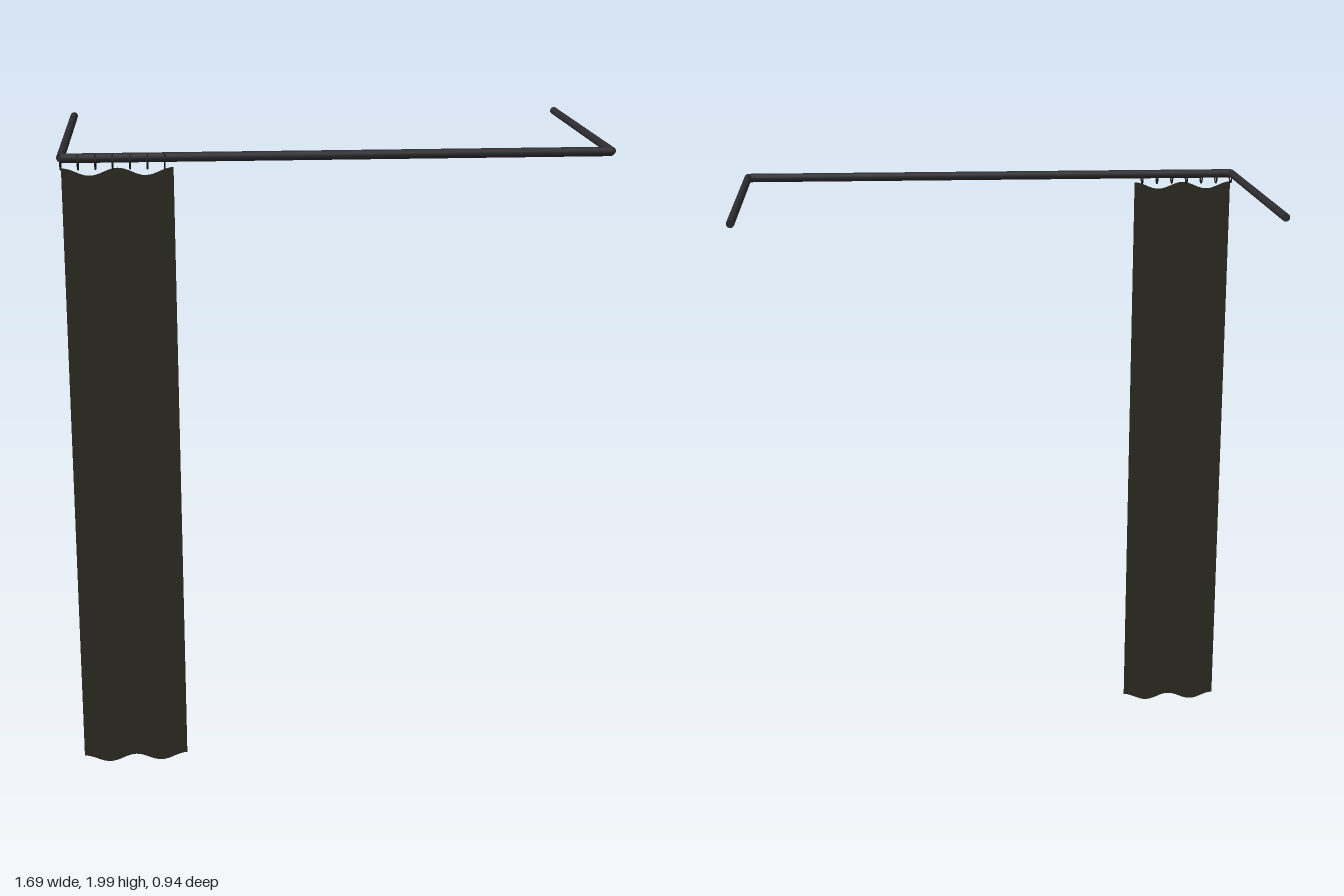
import * as THREE from 'three';

const railMat = new THREE.MeshStandardMaterial({ name: 'dark metal', color: 0x2c2c30 });
const ringMat = new THREE.MeshStandardMaterial({ name: 'black ring', color: 0x1a1a1c });
const clothMat = new THREE.MeshStandardMaterial({ name: 'dark olive cloth', color: 0x2e2d22, side: THREE.DoubleSide });

export function createModel() {
  const model = new THREE.Group();
  model.name = 'curtainRail';
  const add = (name, geometry, material, x, y, z) => {
    const mesh = new THREE.Mesh(geometry, material);
    mesh.name = name;
    mesh.position.set(x, y, z);
    model.add(mesh);
    return mesh;
  };

  // U-shaped rail: a front rod and two side rods running back
  const front = new THREE.CylinderGeometry(0.0145, 0.0145, 1.664, 16).rotateZ(Math.PI / 2);
  add('frontRail', front, railMat, 0, 1.9855, 0.443);
  const side = new THREE.CylinderGeometry(0.0125, 0.0125, 0.915, 16).rotateX(Math.PI / 2);
  for (const s of [-1, 1]) add(s < 0 ? 'rightRail' : 'leftRail', side, railMat, s * 0.832, 1.9865, -0.0145);

  // Hanging rings around the front rod
  const ring = new THREE.TorusGeometry(0.0215, 0.0025, 8, 24).rotateY(Math.PI / 2);
  for (let i = 0; i < 7; i++) add('curtainRing', ring, ringMat, -0.832 + i * 0.0515, 1.974, 0.449);

  // Curtain: flat sheet with the same wave along its top and bottom edges
  const x0 = -0.831, width = 0.334, steps = 32;
  const wave = t => 0.0115 * Math.cos(t * Math.PI * 4);
  const points = [];
  for (let i = 0; i <= steps; i++) points.push(new THREE.Vector2(x0 + width * i / steps, 0.0175 + wave(i / steps)));
  for (let i = steps; i >= 0; i--) points.push(new THREE.Vector2(x0 + width * i / steps, 1.945 + wave(i / steps)));
  add('curtain', new THREE.ShapeGeometry(new THREE.Shape(points)), clothMat, 0, 0, 0.449);

  return model;
}
